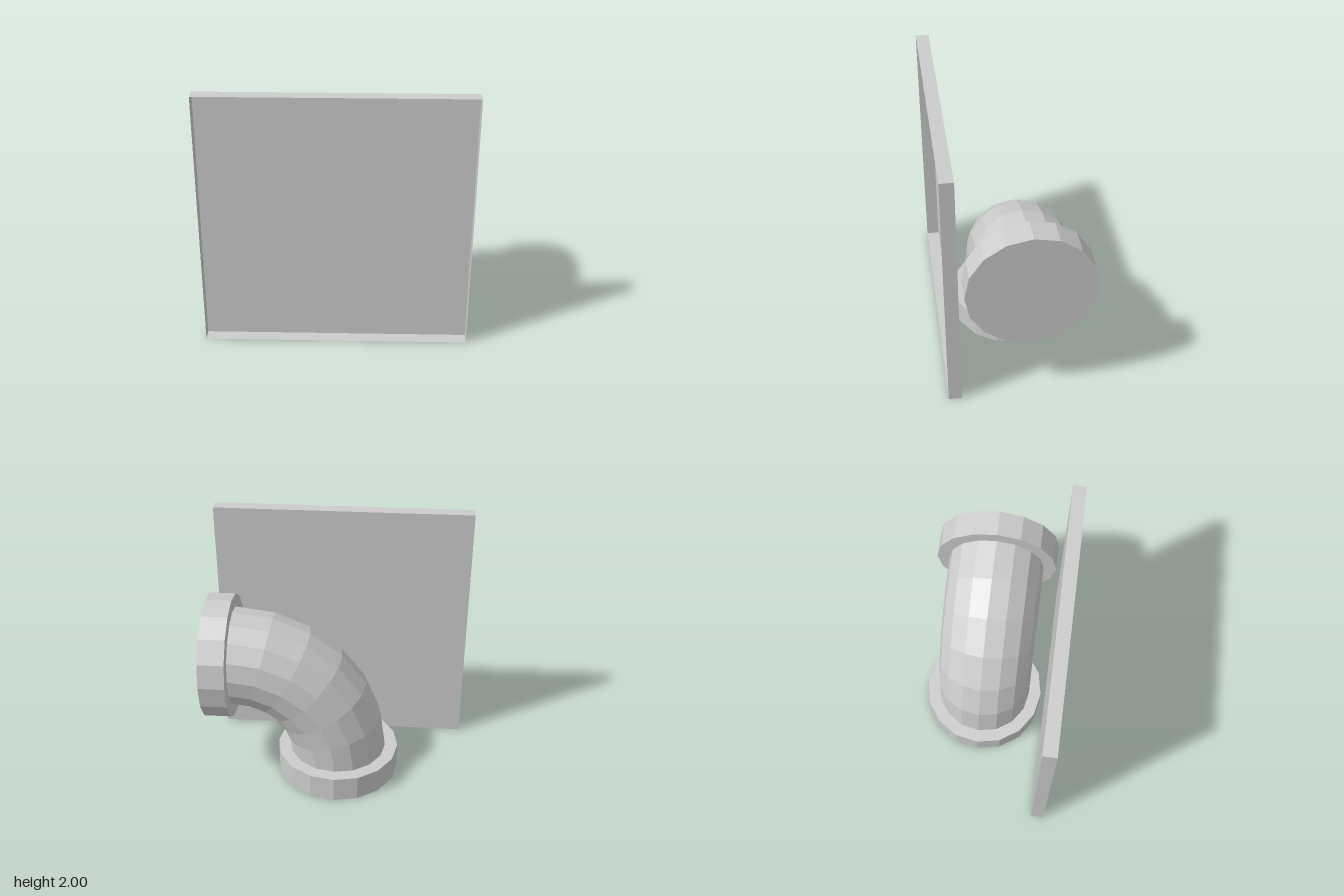
import * as THREE from 'three';

const PIPE_Z = -0.07;
const SIDES = 16;

export function createModel() {
  const model = new THREE.Group();
  model.name = 'pipeElbowWithPanel';

  const solid = new THREE.MeshStandardMaterial({ color: 0xcccccc, flatShading: true });
  const open = new THREE.MeshStandardMaterial({ color: 0xcccccc, flatShading: true, side: THREE.DoubleSide });

  const add = (name, geometry, material, x, y, z) => {
    const mesh = new THREE.Mesh(geometry, material);
    mesh.name = name;
    mesh.position.set(x, y, z);
    model.add(mesh);
    return mesh;
  };

  // Shallow square tray: a box whose front (+z) face is left open
  const tray = new THREE.BoxGeometry(2, 2, 0.1);
  const faces = Array.from(tray.index.array);
  faces.splice(24, 6);
  tray.setIndex(faces);
  tray.clearGroups();
  add('panel', tray, open, 0, 1, 0.5);

  // Quarter-turn pipe, rising from the base and bending to +x
  const bend = new THREE.TorusGeometry(0.8, 0.38, SIDES, 6, Math.PI / 2);
  bend.rotateZ(Math.PI / 2);
  add('elbowPipe', bend, open, 0.8, 0.2, PIPE_Z);

  // Closed flanges on both ends of the pipe
  const flange = new THREE.CylinderGeometry(0.48, 0.48, 0.2, SIDES);
  add('baseFlange', flange, solid, 0, 0.1, PIPE_Z);
  add('sideFlange', flange, solid, 0.9, 1, PIPE_Z).rotation.z = Math.PI / 2;

  return model;
}
